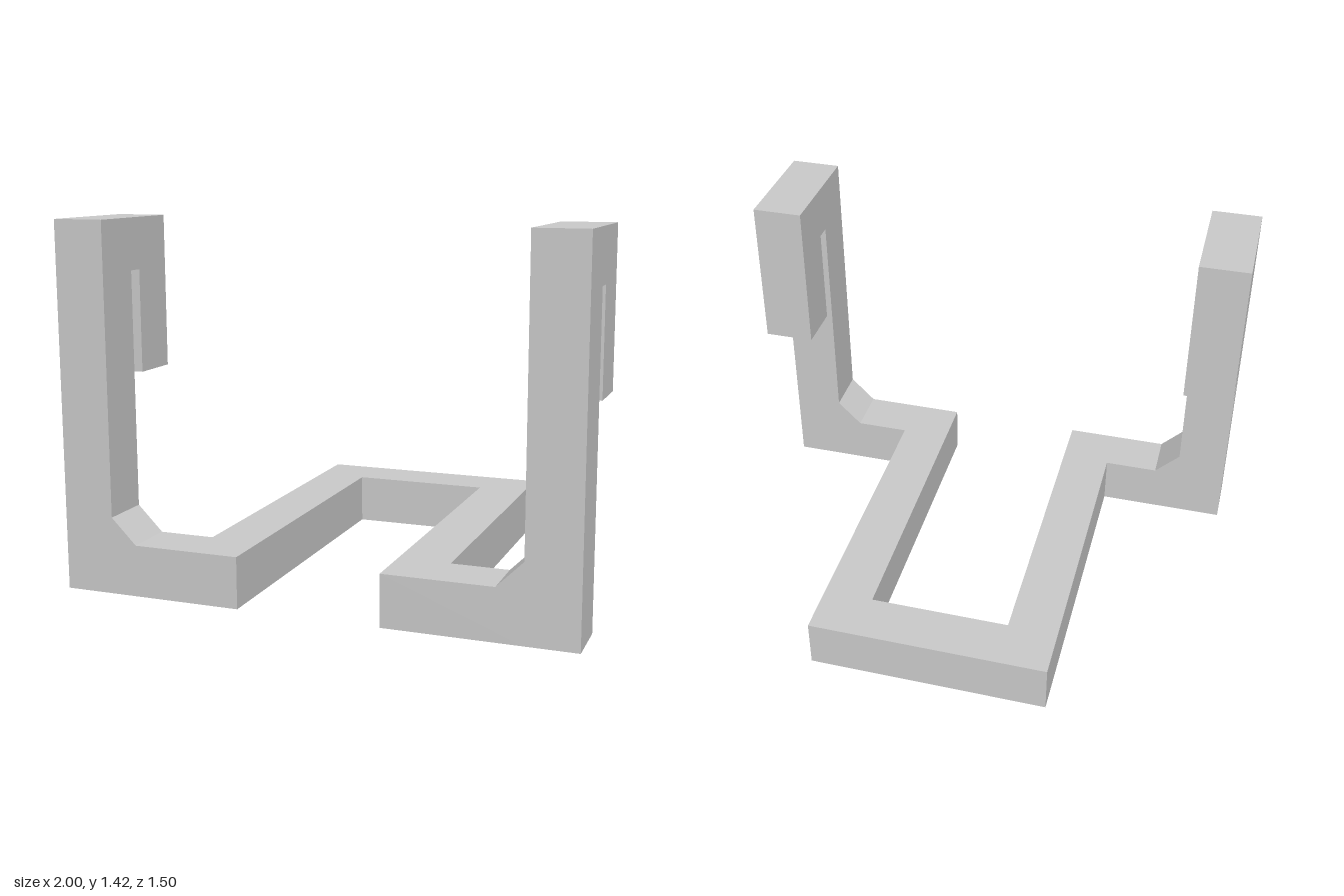
import * as THREE from 'three';

const material = new THREE.MeshStandardMaterial({ color: 0xcccccc, flatShading: true });

const T = 0.2;       // bar thickness
const FRONT = 0.75;  // front and back extent in z
const HEIGHT = 1.42;

// Extrude a closed outline of [x, y] points along +z
function prism(points, depth) {
  const shape = new THREE.Shape(points.map(([x, y]) => new THREE.Vector2(x, y)));
  return new THREE.ExtrudeGeometry(shape, { depth, bevelEnabled: false });
}

function addPart(group, name, geometry) {
  const mesh = new THREE.Mesh(geometry, material);
  mesh.name = name;
  group.add(mesh);
}

export function createModel() {
  const model = new THREE.Group();
  model.name = 'hookStand';

  // Flat base: U-shaped bar with a foot turned outward at each front end (plan outline as x, -z)
  const half = [
    [0.28, FRONT - T], [0.28, -FRONT], [0.8, -FRONT],
    [0.8, T - FRONT], [0.48, T - FRONT], [0.48, FRONT],
  ];
  const mirrored = half.map(([x, y]) => [-x, y]).reverse();
  addPart(model, 'base', prism([...half, ...mirrored], T).rotateX(-Math.PI / 2));

  // Upright with a hook folded over toward the back (side outline as z, y)
  const hook = [
    [FRONT, 0], [FRONT, HEIGHT], [0.29, HEIGHT], [0.29, 0.82],
    [0.49, 0.82], [0.49, 1.22], [0.55, 1.22], [0.55, 0],
  ];

  for (const [side, label] of [[1, 'left'], [-1, 'right']]) {
    const upright = prism(hook, T).rotateY(-Math.PI / 2);
    addPart(model, label + 'HookUpright', upright.translate(side > 0 ? 1 : -0.8, 0, 0));

    // Small corner brace between foot and upright
    const corner = [[0.7, T], [0.8, T], [0.8, 0.3]].map(([x, y]) => [side * x, y]);
    addPart(model, label + 'CornerBrace', prism(corner, T).translate(0, 0, FRONT - T));
  }

  return model;
}
